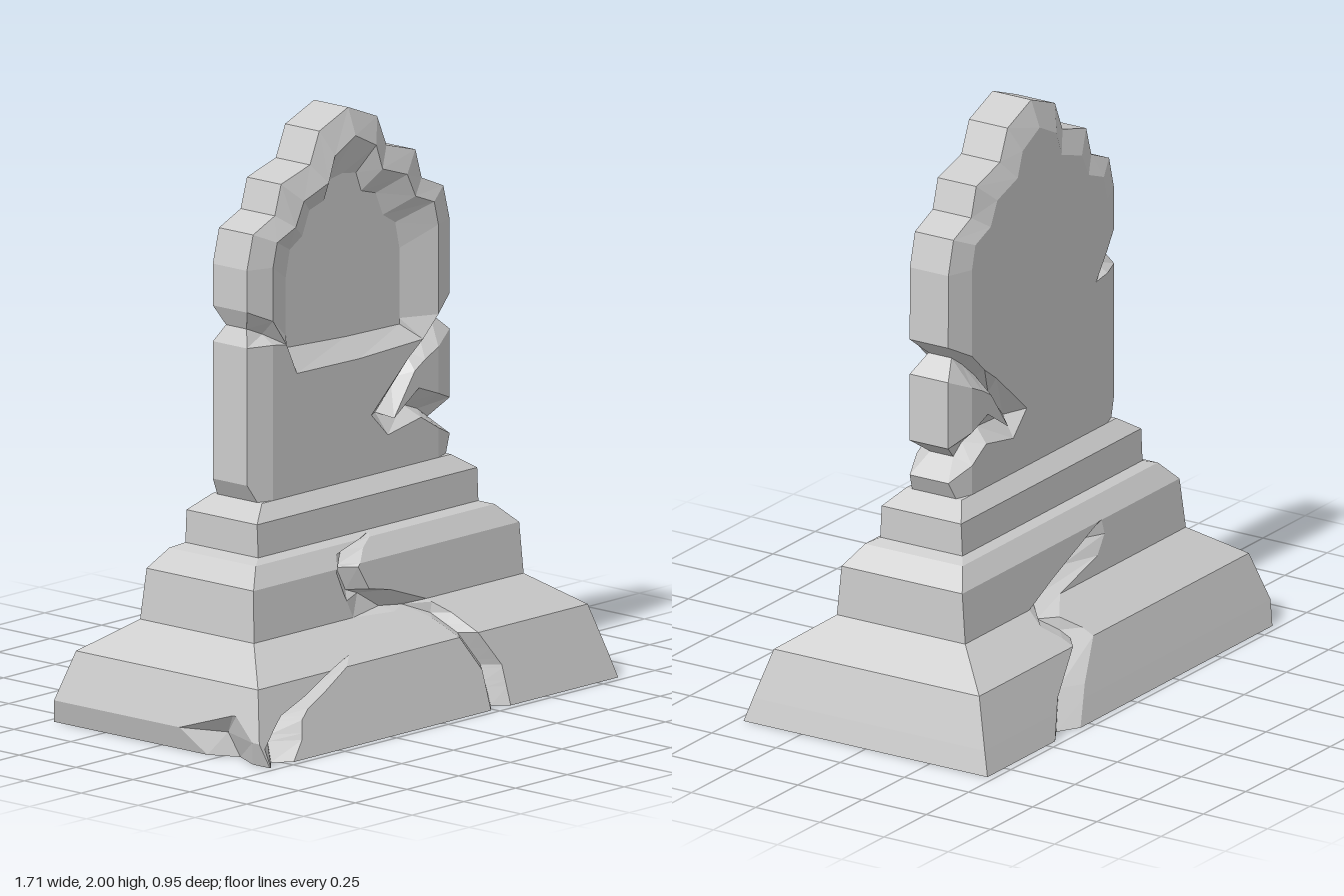
import * as THREE from 'three';

const stone = new THREE.MeshStandardMaterial({ color: 0xcccccc, flatShading: true, side: THREE.DoubleSide });

// Collects triangles; flip reverses their winding for mirrored skins
function skin(name, build, flip = false) {
  const pos = [];
  const tri = (a, b, c) => pos.push(...a, ...(flip ? c : b), ...(flip ? b : c));
  // Quads between two equal polylines: b lies to the left of a's direction
  const strip = (a, b) => {
    for (let i = 0; i < a.length - 1; i++) {
      tri(a[i], a[i + 1], b[i + 1]);
      tri(a[i], b[i + 1], b[i]);
    }
  };
  // Filled polygon; 2D corners are lifted into 3D by place()
  const poly = (pts, place) => {
    const v = pts.map(p => new THREE.Vector2(p[0], p[1]));
    if (THREE.ShapeUtils.isClockWise(v)) v.reverse();
    for (const f of THREE.ShapeUtils.triangulateShape(v, [])) tri(...f.map(i => place(v[i].x, v[i].y)));
  };
  build(strip, poly);
  const g = new THREE.BufferGeometry();
  g.setAttribute('position', new THREE.Float32BufferAttribute(pos, 3));
  g.computeVertexNormals();
  const mesh = new THREE.Mesh(g, stone);
  mesh.name = name;
  return mesh;
}

// Linear lookup in rows of [y, values...], clamped at the ends
function sample(rows, y) {
  if (y <= rows[0][0]) return rows[0].slice(1);
  for (let i = 1; i < rows.length; i++) {
    if (y > rows[i][0]) continue;
    const [a, b] = [rows[i - 1], rows[i]];
    const t = (y - a[0]) / (b[0] - a[0]);
    return a.slice(1).map((v, k) => THREE.MathUtils.lerp(v, b[k + 1], t));
  }
  return rows[rows.length - 1].slice(1);
}

// Stepped pedestal: y, min x, max x, half depth
const tiers = [
  [0, -0.835, 0.85, 0.475], [0.08, -0.86, 0.83, 0.451], [0.245, -0.81, 0.785, 0.4],
  [0.35, -0.665, 0.64, 0.25], [0.52, -0.65, 0.635, 0.235], [0.585, -0.59, 0.565, 0.19],
  [0.6, -0.545, 0.52, 0.16], [0.71, -0.545, 0.52, 0.155], [0.76, -0.47, 0.445, 0.108],
];

// Cracks: y, left edge, right edge, depth
const frontCrack = [
  [0, 0.235, 0.33, 0.045], [0.13, 0.235, 0.33, 0.05], [0.245, 0.165, 0.255, 0.05], [0.305, 0.125, 0.22, 0.05],
  [0.34, 0.0, 0.18, 0.05], [0.35, -0.185, 0.17, 0.05], [0.41, -0.21, 0.0, 0.05], [0.43, -0.22, -0.1, 0.05],
  [0.51, -0.25, -0.145, 0.05], [0.56, -0.22, -0.09, 0.04], [0.595, -0.04, -0.02, 0],
];
const cornerCrack = [
  [0, -0.83, -0.72, 0.05], [0.06, -0.84, -0.66, 0.07], [0.12, -0.77, -0.64, 0.06], [0.15, -0.73, -0.6, 0.05],
  [0.19, -0.6, -0.5, 0.04], [0.245, -0.46, -0.38, 0.025], [0.27, -0.34, -0.33, 0],
];
const backCrack = [
  [0, -0.45, -0.3, 0.045], [0.12, -0.38, -0.22, 0.05], [0.245, -0.23, -0.11, 0.05], [0.27, -0.24, -0.12, 0.05],
  [0.31, -0.28, -0.17, 0.05], [0.35, -0.26, -0.08, 0.05], [0.41, -0.12, 0.15, 0.05], [0.47, 0.04, 0.2, 0.04],
  [0.52, 0.16, 0.19, 0],
];
const sideChip = [[0, 0.2, 0.4, 0.05], [0.08, 0.1, 0.42, 0.06], [0.15, 0.3, 0.33, 0]];

function pedestal() {
  const faces = [
    { name: 'pedestalFront', cracks: [cornerCrack, frontCrack], edge: ([a, b]) => [a, b], at: (u, y, d, t) => [u, y, t[2] - d] },
    { name: 'pedestalLeft', cracks: [], edge: t => [-t[2], t[2]], at: (u, y, d, t) => [t[1] - d, y, -u] },
    { name: 'pedestalBack', cracks: [backCrack], edge: ([a, b]) => [-b, -a], at: (u, y, d, t) => [-u, y, d - t[2]] },
    { name: 'pedestalRight', cracks: [sideChip], edge: t => [-t[2], t[2]], at: (u, y, d, t) => [t[0] + d, y, u] },
  ];
  const group = new THREE.Group();
  group.name = 'pedestal';
  const footprint = [];
  for (const { name, cracks, edge, at } of faces) {
    const ys = [...new Set([tiers, ...cracks].flatMap(r => r.map(p => p[0])))].sort((a, b) => a - b);
    const rows = ys.map(y => {
      const t = sample(tiers, y);
      const [lo, hi] = edge(t);
      const row = [at(lo, y, 0, t)];
      for (const c of cracks) {
        const [l, r, d] = sample(c, y);
        for (const [u, dep] of [[l, 0], [(l + r) / 2, d], [r, 0]]) row.push(at(THREE.MathUtils.clamp(u, lo, hi), y, dep, t));
      }
      row.push(at(hi, y, 0, t));
      return row;
    });
    footprint.push(...rows[0].slice(0, -1).map(p => [p[0], p[2]]));
    group.add(skin(name, strip => rows.slice(1).forEach((r, i) => strip(rows[i], r))));
  }
  group.add(skin('pedestalBottom', (strip, poly) => poly(footprint, (x, z) => [x, 0, z])));
  const [x0, x1, z] = tiers[tiers.length - 1].slice(1);
  group.add(skin('pedestalTop', strip => strip([[x0, 0.76, z], [x1, 0.76, z]], [[x0, 0.76, -z], [x1, 0.76, -z]])));
  return group;
}

// Slab arch, half contours measured from the centre line
const CX = -0.016;
const arch = (half, z) => [
  ...half.map(([d, y]) => [CX - d, y, z]),
  ...half.slice(0, -1).reverse().map(([d, y]) => [CX + d, y, z]),
];
const outer = [
  [-0.505, 1.4, 0.075],
  ...arch([[0.49, 1.54], [0.46, 1.655], [0.355, 1.7], [0.325, 1.8], [0.185, 1.84], [0.14, 1.945], [0, 2]], 0.075),
  [0.475, 1.29, 0.075],
];
const rim = [
  [-0.416, 1.36, 0.108],
  ...arch([[0.4, 1.54], [0.38, 1.62], [0.29, 1.655], [0.25, 1.735], [0.13, 1.775], [0.1, 1.86], [0, 1.91]], 0.108),
  [0.384, 1.24, 0.108],
];
const floor = [
  [-0.291, 1.28, 0.05],
  ...arch([[0.275, 1.475], [0.255, 1.565], [0.195, 1.6], [0.16, 1.68], [0.09, 1.7], [0.065, 1.765], [0, 1.775]], 0.05),
  [0.259, 1.24, 0.05],
];

// Bevelled face height, used where a point gives no z
const bevel = x => 0.108 - 0.033 * THREE.MathUtils.clamp((Math.abs(x - CX) - 0.4) / 0.09, 0, 1);

function slabFace(name, s) {
  return skin(name, (strip, poly) => {
    const P = pts => pts.map(([x, y, z = bevel(x)]) => [x, y, z * s]);
    const join = (a, b) => strip(P(a), P(b));
    const flat = pts => poly(pts, (x, y) => [x, y, 0.108 * s]);

    // Bevels
    join(rim, outer);
    join([[-0.416, 0.76], [-0.416, 0.82], [-0.416, 1.28]], [[-0.47, 0.76], [-0.505, 0.82], [-0.505, 1.28]]);
    join([[0.384, 0.86], [0.384, 0.76]], [[0.475, 0.82], [0.445, 0.76]]);
    join([[0.384, 1.13], [0.384, 0.975]], [[0.475, 1.17], [0.475, 0.94]]);

    // Lower panel, with the recess above it on the front only
    const lower = [[-0.416, 1.28], [-0.416, 0.76], [0.384, 0.76], [0.384, 0.86], [0.3, 0.91], [0.14, 0.88],
      [0.06, 0.96], [0.24, 1.12], [0.31, 1.17]];
    if (s > 0) {
      flat([...lower, [0, 1.16], [-0.3, 1.165], [-0.35, 1.27]]);
      join(floor, rim);
      const ramp = [[-0.291, 1.28], [-0.291, 1.24], [0, 1.225], [0.259, 1.22], [0.259, 1.24]].map(p => [...p, 0.05]);
      join([[-0.416, 1.36], [-0.35, 1.27], [-0.3, 1.165], [0, 1.16], [0.31, 1.17], [0.384, 1.24]], [ramp[0], ...ramp]);
      poly([...floor, ...ramp.slice(1, 4).reverse()], (x, y) => [x, y, 0.05]);
    } else {
      flat([...lower, ...[...rim].reverse(), [-0.35, 1.27]]);
    }

    // Notch in the right edge
    const notch = [[-0.475, 1.335, 0.045], [-0.416, 1.31, 0.06], [-0.35, 1.27]];
    join(notch, [[-0.505, 1.4], [-0.416, 1.36], [-0.35, 1.27]]);
    join([[-0.505, 1.28], [-0.416, 1.28], [-0.35, 1.27]], notch);

    // Forked crack around a loose wedge in the left edge
    const upper = [[0.13, 0.95, 0.06], [0.21, 1.05, 0.055], [0.28, 1.13, 0.05], [0.35, 1.19, 0.045], [0.41, 1.23, 0.045]];
    join(upper, [[0.06, 0.96], [0.24, 1.12], [0.31, 1.17], [0.384, 1.24], [0.475, 1.29]]);
    join([[0.17, 0.93], [0.27, 1.07], [0.32, 1.1], [0.384, 1.13], [0.475, 1.17]], upper);
    const under = [[0.13, 0.95, 0.06], [0.13, 0.95, 0.06], [0.27, 0.95, 0.05], [0.35, 0.92, 0.045], [0.4, 0.885, 0.045]];
    join([[0.06, 0.96], [0.14, 0.88], [0.3, 0.91], [0.384, 0.86], [0.475, 0.82]], under);
    join(under.slice(1), [[0.17, 0.93], [0.29, 1.01], [0.384, 0.975], [0.475, 0.94]]);
    flat([[0.384, 1.13], [0.32, 1.1], [0.27, 1.07], [0.17, 0.93], [0.29, 1.01], [0.384, 0.975]]);
  }, s < 0);
}

// Outer edge of the slab, following the notches
function slabEdge() {
  const path = [
    [-0.47, 0.76], [-0.505, 0.82], [-0.505, 1.28], [-0.475, 1.335, 0.045], ...outer,
    [0.41, 1.23, 0.045], [0.475, 1.17], [0.475, 0.94], [0.4, 0.885, 0.045], [0.475, 0.82], [0.445, 0.76],
  ];
  const side = s => path.map(([x, y, z = bevel(x)]) => [x, y, z * s]);
  return skin('slabEdge', strip => strip(side(1), side(-1)));
}

export function createModel() {
  const model = new THREE.Group();
  model.name = 'gravestone';
  const slab = new THREE.Group();
  slab.name = 'slab';
  slab.add(slabFace('slabFront', 1), slabFace('slabBack', -1), slabEdge());
  model.add(pedestal(), slab);
  return model;
}
